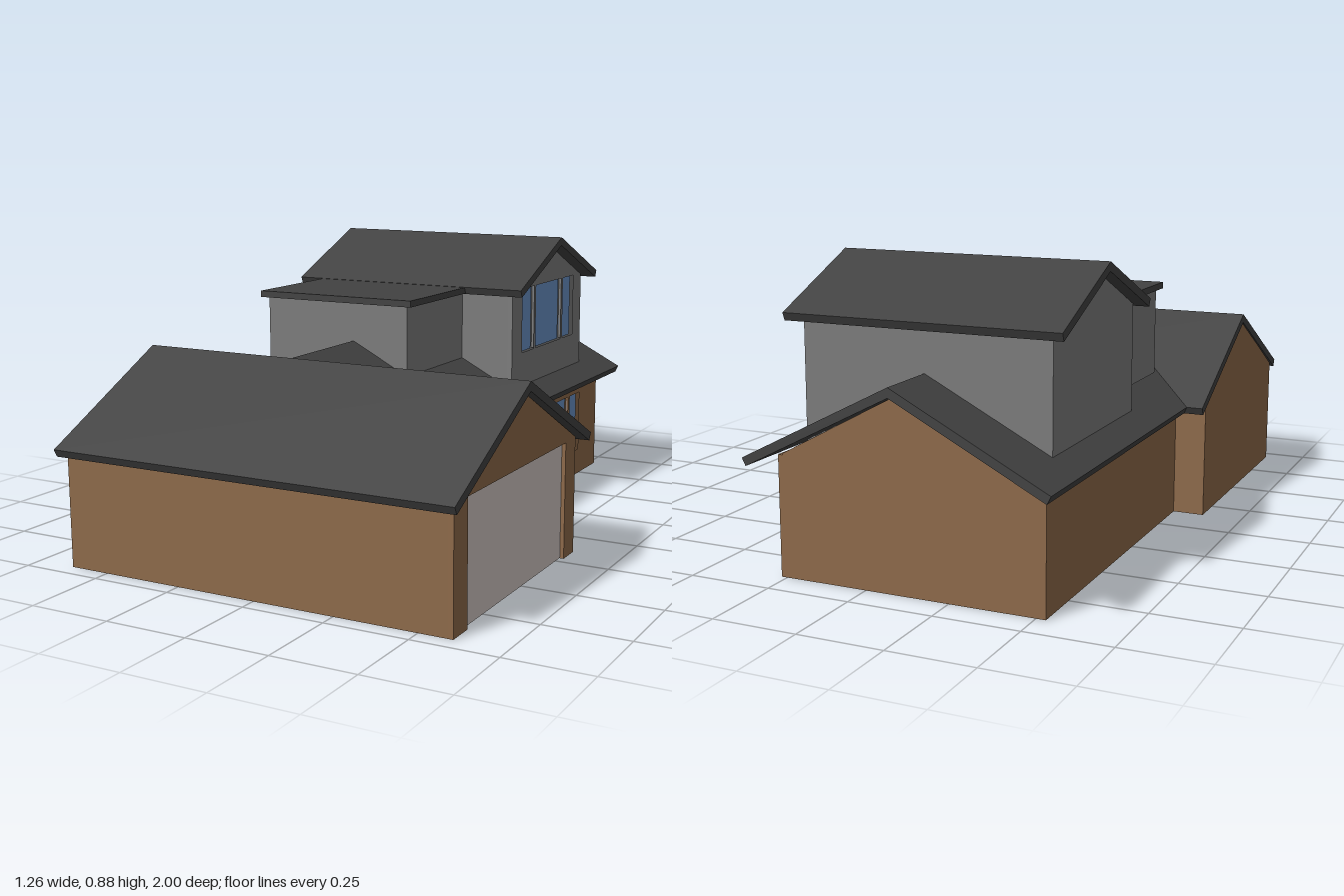
import * as THREE from 'three';

const paint = (color) => new THREE.MeshStandardMaterial({ color, flatShading: true });
const BRICK = paint(0x8e6a4a), SLATE = paint(0x424242), RENDER = paint(0x7c7c7c);
const GLASS = paint(0x6a92c8), DOOR = paint(0xd2c8c4);
const RECESS = 0.015; // depth of window and door reveals

export function createModel() {
  const house = new THREE.Group();
  house.name = 'house';

  const add = (name, geometry, material) => {
    const mesh = new THREE.Mesh(geometry, material);
    mesh.name = name;
    house.add(mesh);
    return mesh;
  };

  const box = (name, material, [x0, x1], [y0, y1], [z0, z1]) =>
    add(name, new THREE.BoxGeometry(x1 - x0, y1 - y0, z1 - z0), material)
      .position.set((x0 + x1) / 2, (y0 + y1) / 2, (z0 + z1) / 2);

  // Extrude an outline between two stations; along x the outline is given as (z, y)
  const prism = (name, material, axis, outline, from, to, holes = []) => {
    const s = axis === 'x' ? -1 : 1;
    const points = (list) => list.map(([u, v]) => new THREE.Vector2(s * u, v));
    const shape = new THREE.Shape(points(outline));
    for (const hole of holes) shape.holes.push(new THREE.Path(points(hole)));
    const geometry = new THREE.ExtrudeGeometry(shape, { depth: to - from, bevelEnabled: false });
    geometry.translate(0, 0, from);
    if (axis === 'x') geometry.rotateY(Math.PI / 2);
    add(name, geometry, material);
  };

  // Two-sided roof slab with eaves cut square to the slope
  const roof = (name, axis, centre, half, eave, ridge, from, to) => {
    const t = 0.025, angle = Math.atan2(ridge - eave, half);
    const inner = half - t * Math.sin(angle), low = eave - t * Math.cos(angle);
    prism(name, SLATE, axis, [
      [centre - half, eave], [centre - inner, low], [centre, ridge - t / Math.cos(angle)],
      [centre + inner, low], [centre + half, eave], [centre, ridge],
    ], from, to);
  };

  const rect = (u0, u1, v0, v1) => [[u0, v0], [u1, v0], [u1, v1], [u0, v1]];

  // Three-light windows on the right-hand walls
  const windowSet = (name, spans, y0, y1, x) => {
    spans.forEach(([z0, z1]) =>
      box(name, GLASS, [x - RECESS - 0.004, x - RECESS + 0.003], [y0, y1], [z0, z1]));
    return spans.map(([z0, z1]) => rect(z0, z1, y0, y1));
  };

  // Garage wing, ridge running left to right
  const gx = 0.6;
  prism('garageWing', BRICK, 'x',
    [[0.145, 0], [0.95, 0], [0.95, 0.353], [0.5475, 0.563], [0.145, 0.353]], -0.625, gx - RECESS);
  prism('garageGable', BRICK, 'x', [
    [0.145, 0], [0.22, 0], [0.22, 0.35], [0.87, 0.35], [0.87, 0],
    [0.95, 0], [0.95, 0.353], [0.5475, 0.563], [0.145, 0.353],
  ], gx - RECESS, gx);
  box('garageDoor', DOOR, [gx - RECESS - 0.004, gx - RECESS + 0.003], [0.001, 0.35], [0.22, 0.87]);
  roof('garageRoof', 'x', 0.545, 0.455, 0.358, 0.59, -0.63, 0.627);

  // Rear wing, ridge running front to back
  const rx = 0.268;
  prism('rearWing', BRICK, 'z',
    [[-0.528, 0], [rx - RECESS, 0], [rx - RECESS, 0.355], [-0.13, 0.562], [-0.528, 0.353]], -0.905, 0.2);
  const lowerHoles = windowSet('lowerWindow', [[-0.4, -0.305], [-0.63, -0.413], [-0.735, -0.647]], 0.09, 0.3, rx);
  prism('rearWingSideWall', BRICK, 'x', rect(-0.905, 0.2, 0, 0.35), rx - RECESS, rx, lowerHoles);
  roof('rearRoof', 'z', -0.13, 0.45, 0.358, 0.589, -1, 0.535);

  // Upper storey
  const ux = 0.24;
  const gable = [[-0.8, 0.36], [-0.2, 0.36], [-0.2, 0.718], [-0.5, 0.848], [-0.8, 0.718]];
  prism('upperStorey', RENDER, 'x', gable, -0.5, ux - RECESS);
  const upperHoles = windowSet('upperWindow', [[-0.378, -0.28], [-0.615, -0.393], [-0.725, -0.63]], 0.51, 0.722, ux);
  prism('upperGable', RENDER, 'x', gable, ux - RECESS, ux, upperHoles);
  roof('upperRoof', 'x', -0.5, 0.337, 0.731, 0.875, -0.54, 0.285);

  // Flat-roofed front room of the upper storey
  box('frontRoom', RENDER, [-0.44, 0.06], [0.44, 0.712], [-0.22, 0.185]);
  box('frontRoomRoof', SLATE, [-0.455, 0.085], [0.71, 0.73], [-0.21, 0.21]);

  return house;
}
